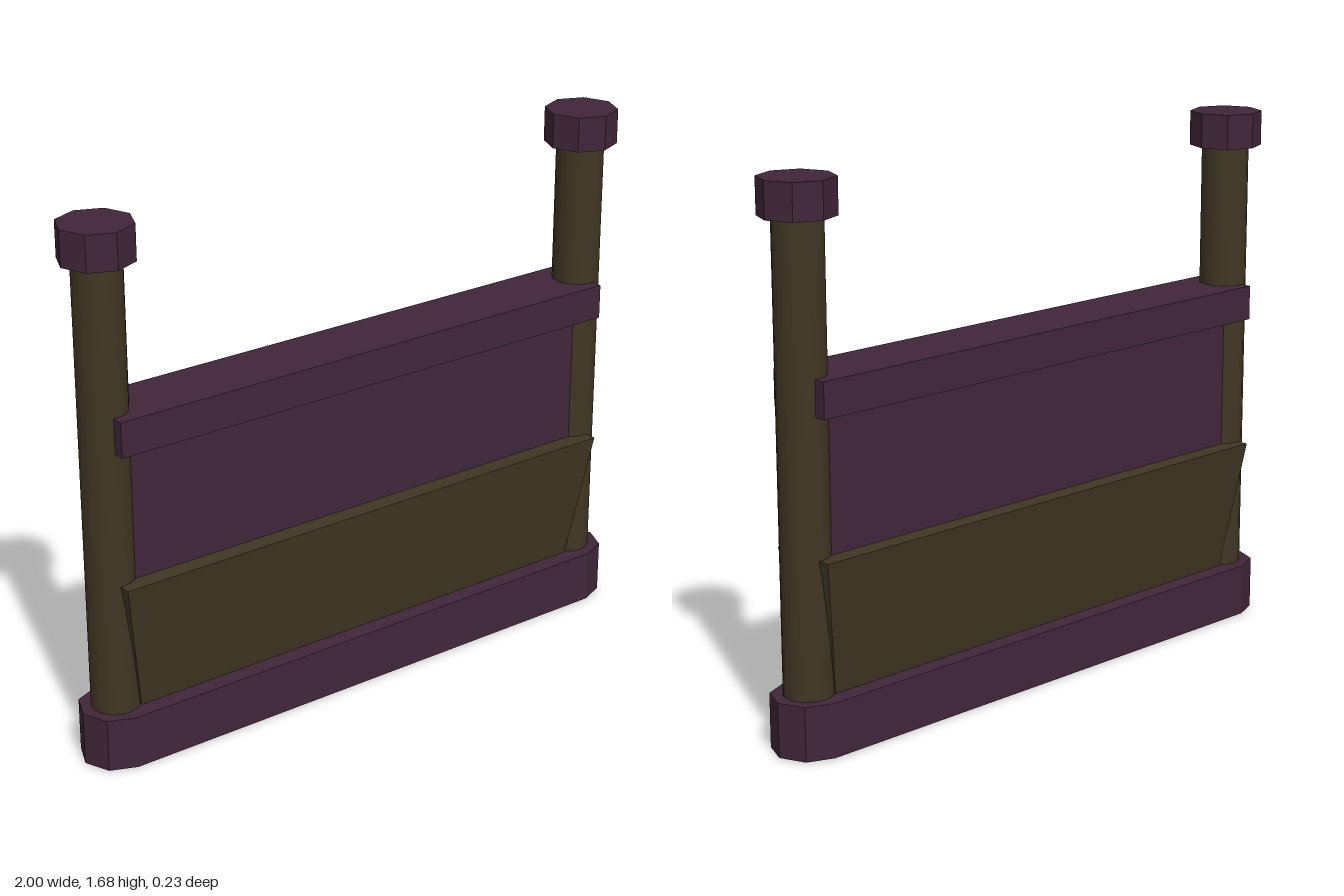
import * as THREE from 'three';

export function createModel() {
  const group = new THREE.Group();
  const plum = new THREE.MeshStandardMaterial({ color: 0x40263a });
  plum.name = 'plum';
  const olive = new THREE.MeshStandardMaterial({ color: 0x403623 });
  olive.name = 'olive';

  const add = (name, geometry, material, x = 0, y = 0) => {
    const mesh = new THREE.Mesh(geometry, material);
    mesh.name = name;
    mesh.position.set(x, y, 0);
    group.add(mesh);
    return mesh;
  };

  const postX = 0.885, endRadius = 0.114;

  // Long footing with half-octagon ends
  const outline = [];
  for (let i = 0; i <= 4; i++) {
    const a = -Math.PI / 2 + (i * Math.PI) / 4;
    outline.push(new THREE.Vector2(postX + endRadius * Math.cos(a), endRadius * Math.sin(a)));
  }
  for (let i = 0; i <= 4; i++) {
    const a = Math.PI / 2 + (i * Math.PI) / 4;
    outline.push(new THREE.Vector2(-postX + endRadius * Math.cos(a), endRadius * Math.sin(a)));
  }
  const footing = new THREE.ExtrudeGeometry(new THREE.Shape(outline), { depth: 0.168, bevelEnabled: false });
  footing.rotateX(-Math.PI / 2);
  add('footing', footing, plum, 0, 0.002);

  // Posts with octagonal caps
  for (const [side, s] of [['left', 1], ['right', -1]]) {
    add(side + 'Post', new THREE.CylinderGeometry(0.075, 0.075, 1.6, 16), olive, s * postX, 0.8);
    const cap = new THREE.CylinderGeometry(endRadius, endRadius, 0.11, 8).toNonIndexed();
    cap.computeVertexNormals();
    add(side + 'Cap', cap, plum, s * postX, 1.625);
  }

  // Thin infill panel and top rail
  add('panel', new THREE.BoxGeometry(1.72, 0.89, 0.108), plum, 0, 0.605);
  add('topRail', new THREE.BoxGeometry(1.79, 0.11, 0.22), plum, 0, 1.065);

  // Lower skirt, flaring outward toward its top edge
  let skirt = new THREE.BoxGeometry(1.79, 0.42, 0.224);
  const p = skirt.attributes.position;
  for (let i = 0; i < p.count; i++) {
    if (p.getY(i) < 0) {
      p.setX(i, Math.sign(p.getX(i)) * 0.832);
      p.setZ(i, Math.sign(p.getZ(i)) * 0.058);
    }
  }
  skirt = skirt.toNonIndexed();
  skirt.computeVertexNormals();
  add('skirt', skirt, olive, 0, 0.38);

  return group;
}
